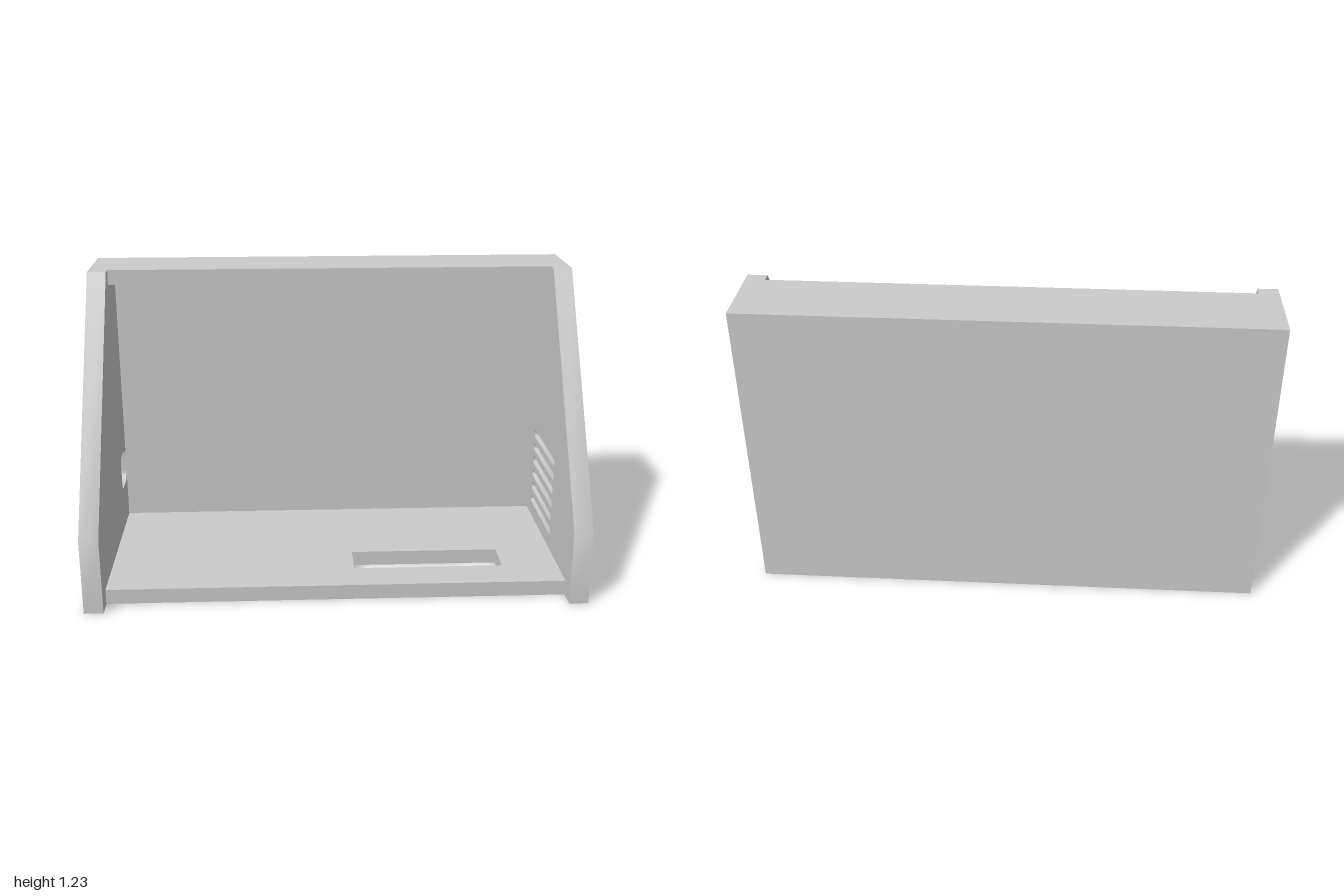
import * as THREE from 'three';
import { toCreasedNormals } from 'three/addons/utils/BufferGeometryUtils.js';

const WALL = 0.077, PLATE = 0.0615, HEIGHT = 1.231, HALF_DEPTH = 0.4615;
const INNER = 1 - WALL, BACK = -HALF_DEPTH + WALL;

// Rounded rectangular opening centred on (cx, cy)
function roundedHole(cx, cy, w, h, r) {
  const p = new THREE.Path();
  const x = w / 2 - r, y = h / 2 - r;
  p.absarc(cx + x, cy + y, r, 0, Math.PI / 2);
  p.absarc(cx - x, cy + y, r, Math.PI / 2, Math.PI);
  p.absarc(cx - x, cy - y, r, Math.PI, Math.PI * 1.5);
  p.absarc(cx + x, cy - y, r, Math.PI * 1.5, Math.PI * 2);
  p.closePath();
  return p;
}

function polygon(points, Type = THREE.Shape) {
  return new Type(points.map(([x, y]) => new THREE.Vector2(x, y)));
}

export function createModel() {
  const group = new THREE.Group();
  const material = new THREE.MeshStandardMaterial({ color: 0xcccccc });

  function add(name, geometry, x, y, z) {
    const mesh = new THREE.Mesh(geometry, material);
    mesh.name = name;
    mesh.position.set(x, y, z);
    group.add(mesh);
  }
  function extrude(shape, depth) {
    const g = new THREE.ExtrudeGeometry(shape, { depth, bevelEnabled: false, curveSegments: 10 });
    return toCreasedNormals(g, 0.6);
  }

  // Side walls with sloping front edge, profile drawn in (z, y)
  function sideWall(name, outerX, holes) {
    const shape = polygon([
      [-HALF_DEPTH, 0], [HALF_DEPTH, 0], [HALF_DEPTH, 0.308],
      [-0.154, HEIGHT], [-HALF_DEPTH, HEIGHT],
    ]);
    shape.holes.push(...holes);
    add(name, extrude(shape, WALL).rotateY(-Math.PI / 2), outerX, 0, 0);
  }

  // Row of vent slots on the left wall, cable opening on the right wall
  const vents = [];
  for (let i = 0; i < 6; i++) {
    vents.push(roundedHole(-0.1155, 0.139 + i * 0.0623, 0.385, 0.032, 0.0155));
  }
  sideWall('leftVentedWall', 1, vents);
  sideWall('rightWallWithCableHole', -INNER, [roundedHole(-0.3075, 0.3125, 0.154, 0.155, 0.038)]);

  // Floor plate with rectangular cutout, drawn in (x, z)
  const floor = polygon([[-INNER, BACK], [INNER, BACK], [INNER, 0.383], [-INNER, 0.383]]);
  floor.holes.push(polygon([[0.077, 0.077], [0.077, 0.231], [0.692, 0.231], [0.692, 0.077]], THREE.Path));
  add('floorPlate', extrude(floor, PLATE).rotateX(Math.PI / 2), 0, PLATE, 0);

  // Back panel and top strip between the side walls
  add('backPanel', new THREE.BoxGeometry(INNER * 2, HEIGHT, WALL), 0, HEIGHT / 2, -HALF_DEPTH + WALL / 2);
  const topDepth = -0.192 - BACK;
  add('topStrip', new THREE.BoxGeometry(INNER * 2, PLATE, topDepth), 0, HEIGHT - PLATE / 2, BACK + topDepth / 2);

  return group;
}
